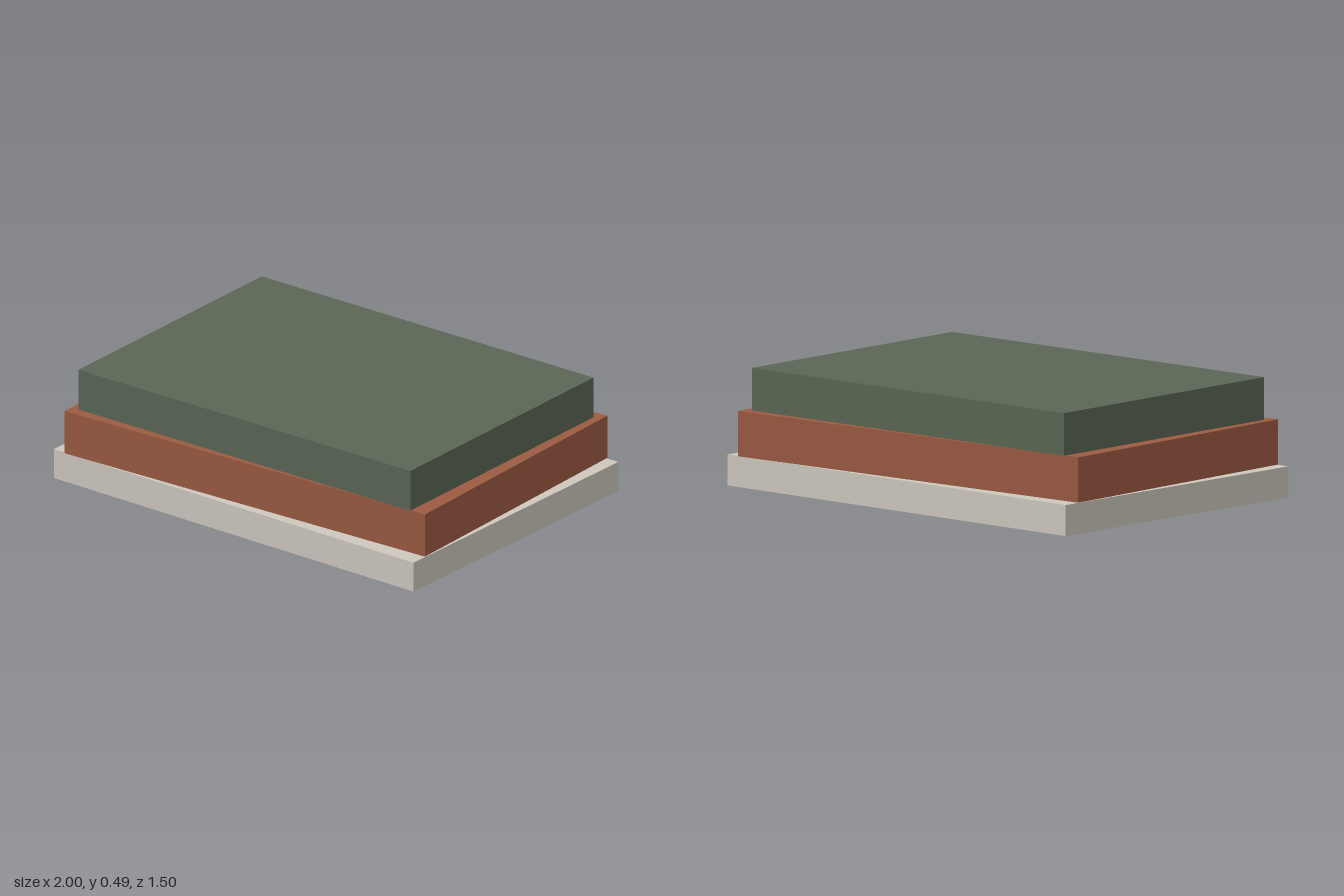
import * as THREE from 'three';

const paint = (name, color) => {
  const material = new THREE.MeshStandardMaterial({ color });
  material.name = name;
  return material;
};

export function createModel() {
  const group = new THREE.Group();
  group.name = 'bookStack';

  // Each book: name, material, width, depth, bottom, top, twist about y
  const books = [
    ['bottomBook', paint('cream', 0xcdc7be), 1.89, 1.342, 0, 0.129, -0.087],
    ['middleBook', paint('rust', 0x9b5a41), 1.827, 1.271, 0.129, 0.317, -0.041],
    ['topBook', paint('mossGreen', 0x5a6655), 1.72, 1.228, 0.317, 0.494, -0.07],
  ];

  for (const [name, material, width, depth, bottom, top, twist] of books) {
    const book = new THREE.Mesh(new THREE.BoxGeometry(width, top - bottom, depth), material);
    book.name = name;
    book.position.y = (bottom + top) / 2;
    book.rotation.y = twist;
    group.add(book);
  }
  return group;
}
